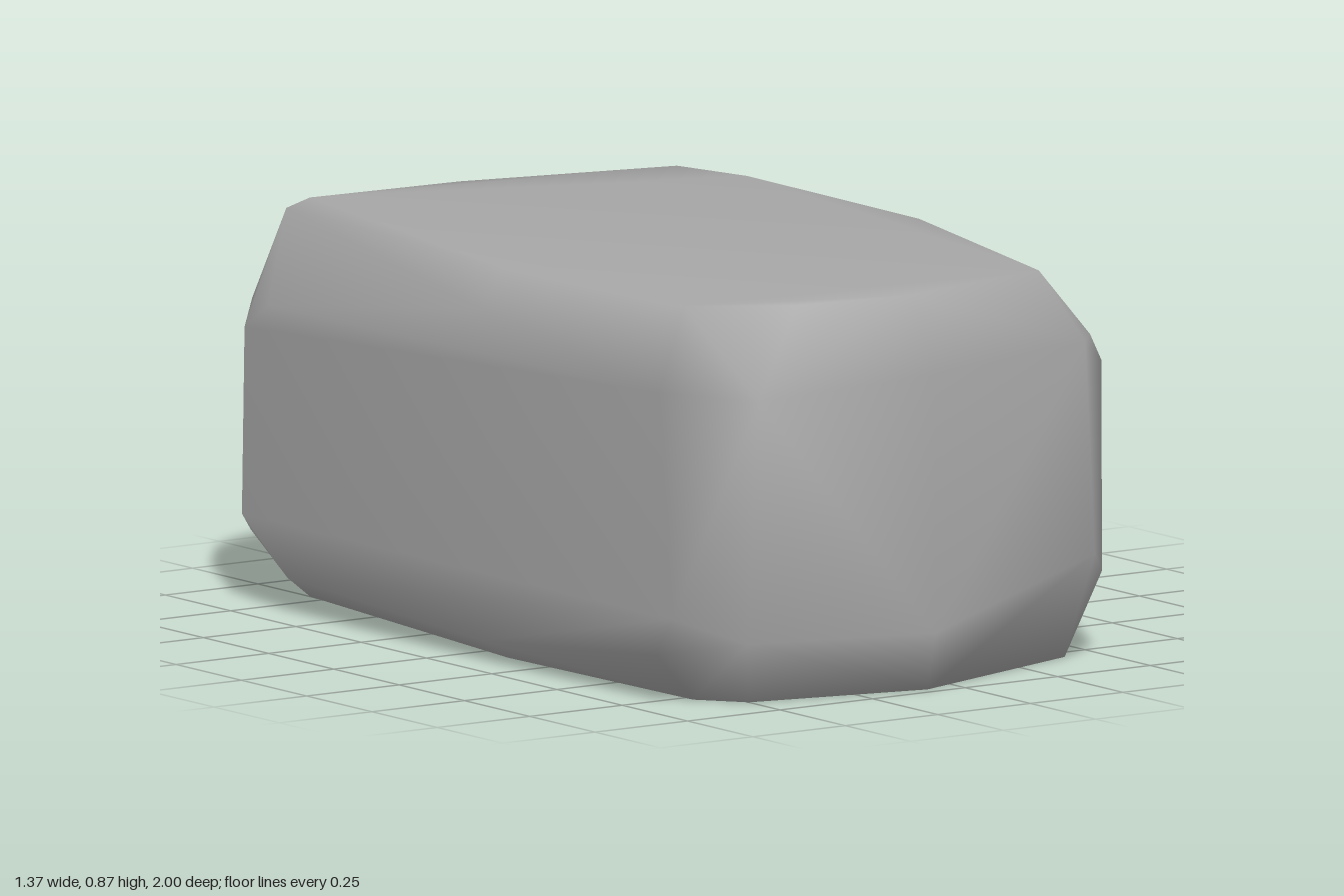
import * as THREE from 'three';
import { ConvexGeometry } from 'three/addons/geometries/ConvexGeometry.js';
import { mergeVertices } from 'three/addons/utils/BufferGeometryUtils.js';

// Corner points of each broad facet of the stone; the bevels are the gaps between them.
const facets = {
  top: [[-0.55, -0.82], [-0.43, -0.9], [-0.04, -0.88], [0.47, -0.77], [0.52, -0.57], [0.51, 0.1],
    [0.34, 0.8], [-0.08, 0.9], [-0.36, 0.865], [-0.57, 0.73], [-0.61, 0.1]].map(([x, z]) => [x, 0.873, z]),
  bottom: [[-0.5, -0.8], [-0.36, -0.86], [-0.08, -0.88], [0.42, -0.82], [0.52, -0.72], [0.58, 0.1],
    [0.41, 0.8], [-0.08, 0.97], [-0.5, 0.88], [-0.58, 0.78], [-0.6, 0.1]].map(([x, z]) => [x, 0, z]),
  left: [[0.49, 0.19, 0.83], [0.61, 0.045, 0.1], [0.675, 0.1, -0.68], [0.68, 0.18, -0.8],
    [0.68, 0.65, -0.76], [0.67, 0.71, -0.57], [0.61, 0.79, 0.1], [0.5, 0.71, 0.77], [0.495, 0.66, 0.82]],
  right: [[-0.67, 0.2, -0.82], [-0.667, 0.08, -0.65], [-0.672, 0.045, 0.1], [-0.68, 0.11, 0.78],
    [-0.685, 0.2, 0.85], [-0.685, 0.7, 0.8], [-0.674, 0.79, 0.1], [-0.67, 0.68, -0.72], [-0.67, 0.62, -0.81]],
  front: [[-0.57, 0.15, 0.975], [-0.08, 0.13, 1], [0.4, 0.25, 0.93], [0.37, 0.73, 0.935],
    [-0.08, 0.71, 1], [-0.54, 0.69, 0.977]],
  back: [[-0.54, 0.13, -0.97], [-0.08, 0.05, -1], [0.58, 0.18, -0.93], [0.57, 0.71, -0.925],
    [-0.08, 0.8, -0.972], [-0.5, 0.72, -0.96], [-0.54, 0.65, -0.965]],
};

export function createModel() {
  const group = new THREE.Group();
  group.name = 'rock';
  const stone = new THREE.MeshStandardMaterial({ color: 0xa6a6a6 });
  stone.name = 'grey stone';

  // Solid hull, with shared area-weighted normals so facets stay flat and bevels look soft
  const points = Object.values(facets).flat().map((p) => new THREE.Vector3(...p));
  const hull = new ConvexGeometry(points);
  hull.deleteAttribute('normal');
  const geometry = mergeVertices(hull, 1e-4);
  geometry.computeVertexNormals();

  const boulder = new THREE.Mesh(geometry, stone);
  boulder.name = 'boulder';
  group.add(boulder);
  return group;
}
